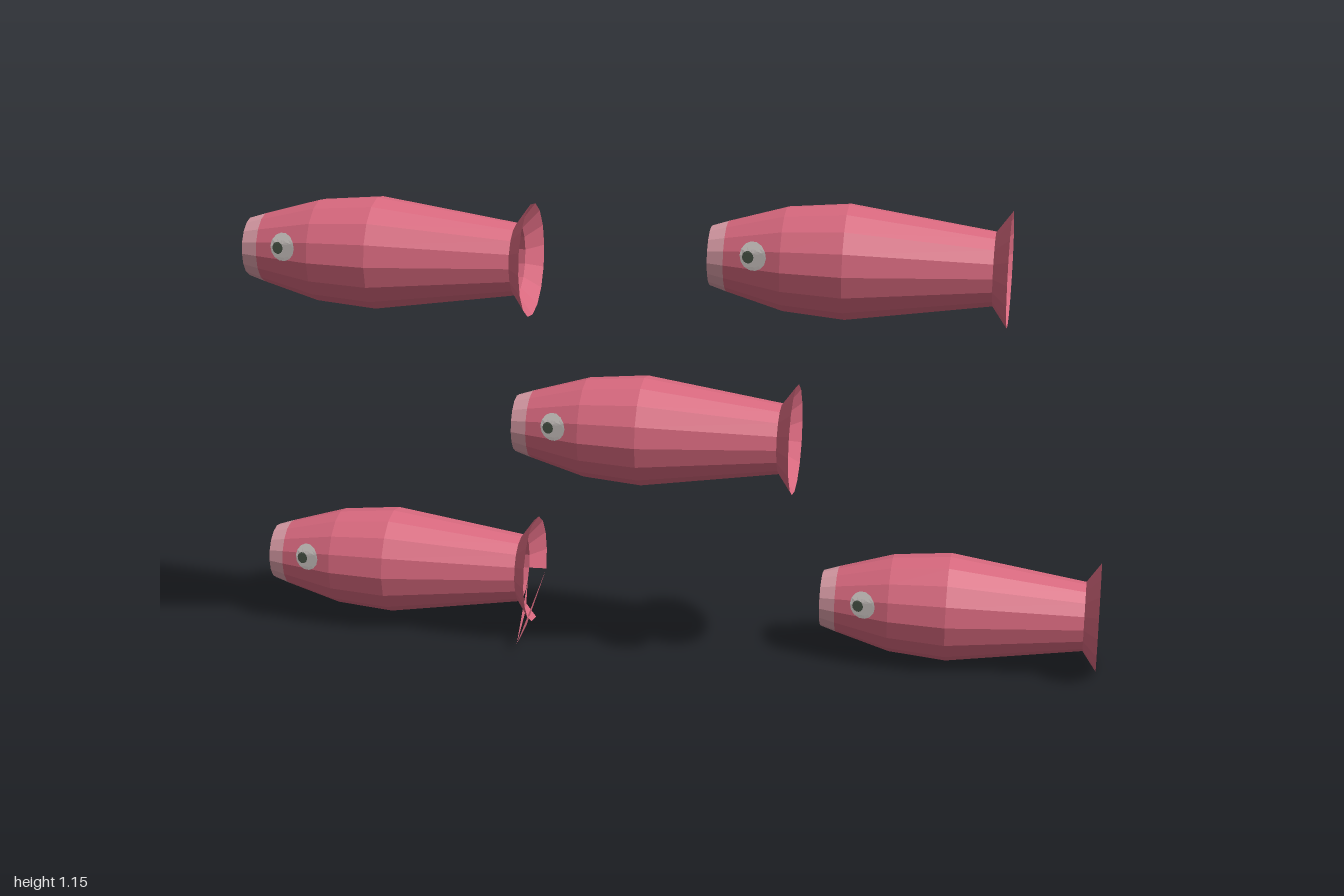
import * as THREE from 'three';

const SIDES = 16;
const STEP = (Math.PI * 2) / SIDES;
const mat = (name, color, flat = true) =>
  new THREE.MeshStandardMaterial({ name, color, flatShading: flat, side: THREE.DoubleSide });

// Body profile: distance from the nose, radius
const NOSE = [[0, 0.066], [0.037, 0.078]];
const BODY = [[0.037, 0.078], [0.165, 0.115], [0.3, 0.127], [0.617, 0.081]];
const TAIL = [[0.617, 0.081], [0.65, 0.127]];

// Open faceted tube lying along x
function tube(profile, start = 0, sectors = SIDES) {
  const pts = profile.map(([u, r]) => new THREE.Vector2(r, u));
  const g = new THREE.LatheGeometry(pts, sectors, start * STEP, sectors * STEP);
  return g.rotateZ(-Math.PI / 2);
}

// Height of the faceted side wall in the head region
function wallZ(u, y) {
  const apothem = (0.067 + 0.29 * u) * Math.cos(STEP / 2);
  let z = Infinity;
  for (let k = -3; k < 3; k++) {
    const a = (k + 0.5) * STEP;
    z = Math.min(z, (apothem - y * Math.sin(a)) / Math.cos(a));
  }
  return z;
}

// Thin round patch draped over the side wall
function patch(u, y, radius, lift) {
  const g = new THREE.RingGeometry(0, radius, 14, 4);
  g.translate(u, y, 0);
  const p = g.attributes.position;
  for (let i = 0; i < p.count; i++) p.setZ(i, wallZ(p.getX(i), p.getY(i)) + lift);
  g.computeVertexNormals();
  return g;
}

export function createModel() {
  const model = new THREE.Group();
  model.name = 'fishSchool';
  const pink = mat('pink skin', 0xdb6a80);
  const pale = mat('pale lips', 0xdfa0aa);
  const white = mat('eye white', 0xcdc6c3);
  const dark = mat('pupil', 0x4a5548);

  const add = (parent, name, geometry, material) => {
    const m = new THREE.Mesh(geometry, material);
    m.name = name;
    parent.add(m);
    return m;
  };

  const noseGeo = tube(NOSE), bodyGeo = tube(BODY), tailGeo = tube(TAIL);
  const tornTailGeo = tube(TAIL, 7, SIDES - 3);
  const eyeGeo = patch(0.105, 0.028, 0.03, 0.003);
  const pupilGeo = patch(0.094, 0.026, 0.013, 0.005);

  // Nose position of each fish, and whether its tail is torn
  const school = [
    [-0.94, 0.998, 0.115, false],
    [0.115, 1.03, 0.115, false],
    [-0.355, 0.575, 0.015, false],
    [-1, 0.154, -0.113, true],
    [0.35, 0.132, -0.113, false],
  ];

  school.forEach(([x, y, z, torn], i) => {
    const fish = new THREE.Group();
    fish.name = `fish${i + 1}`;
    fish.position.set(x, y, z);
    add(fish, 'lips', noseGeo, pale);
    add(fish, 'body', bodyGeo, pink);
    add(fish, 'tailFin', torn ? tornTailGeo : tailGeo, pink);
    for (const side of [1, -1]) {
      const eye = new THREE.Group();
      eye.name = side > 0 ? 'nearEye' : 'farEye';
      eye.scale.z = side;
      add(eye, 'eyeWhite', eyeGeo, white);
      add(eye, 'pupil', pupilGeo, dark);
      fish.add(eye);
    }
    if (torn) {
      // Loose flap of the tail fin pulled out sideways
      const flap = new THREE.BufferGeometry();
      flap.setAttribute('position', new THREE.Float32BufferAttribute([
        0.65, -0.049, -0.117, 0.64, -0.124, 0.06, 0.645, -0.119, 0.183,
        0.617, -0.06, -0.055, 0.645, -0.119, 0.183, 0.63, -0.1, 0.02,
      ], 3));
      flap.computeVertexNormals();
      add(fish, 'tailFlap', flap, pink);
    }
    model.add(fish);
  });
  return model;
}
